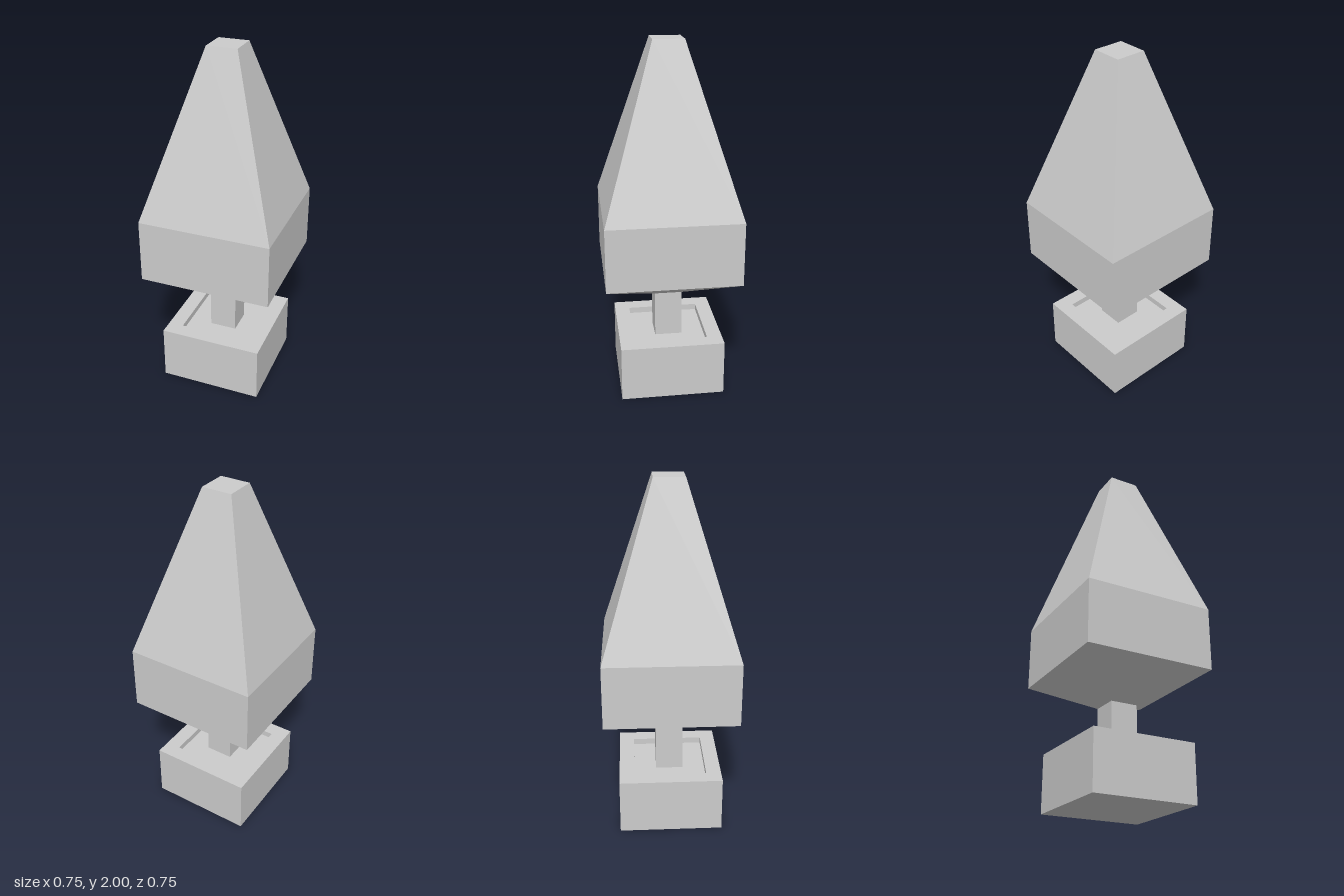
import * as THREE from 'three';

// Square-section solid swept from [halfWidth, y] pairs, listed from bottom to top
function squareLathe(name, profile) {
  const points = profile.map(([half, y]) => new THREE.Vector2(half * Math.SQRT2, y));
  const geometry = new THREE.LatheGeometry(points, 4, Math.PI / 4).toNonIndexed();
  geometry.computeVertexNormals();
  const material = new THREE.MeshStandardMaterial({ color: 0xcccccc, flatShading: true });
  const mesh = new THREE.Mesh(geometry, material);
  mesh.name = name;
  return mesh;
}

export function createModel() {
  const group = new THREE.Group();
  group.name = 'pottedTree';

  // Pot with a raised rim around a shallow bed of soil
  const rimY = 0.322, soilY = 0.286;
  group.add(squareLathe('pot', [[0, 0], [0.295, 0], [0.295, rimY], [0.208, rimY], [0.208, soilY], [0, soilY]]));

  // Trunk rising from the soil to the foliage
  group.add(squareLathe('trunk', [[0.078, soilY], [0.078, 0.555]]));

  // Foliage: flared underside, straight band, tapered crown with a flat top
  group.add(squareLathe('foliage', [[0, 0.555], [0.078, 0.555], [0.373, 0.717], [0.373, 1.077], [0.085, 2], [0, 2]]));

  return group;
}
